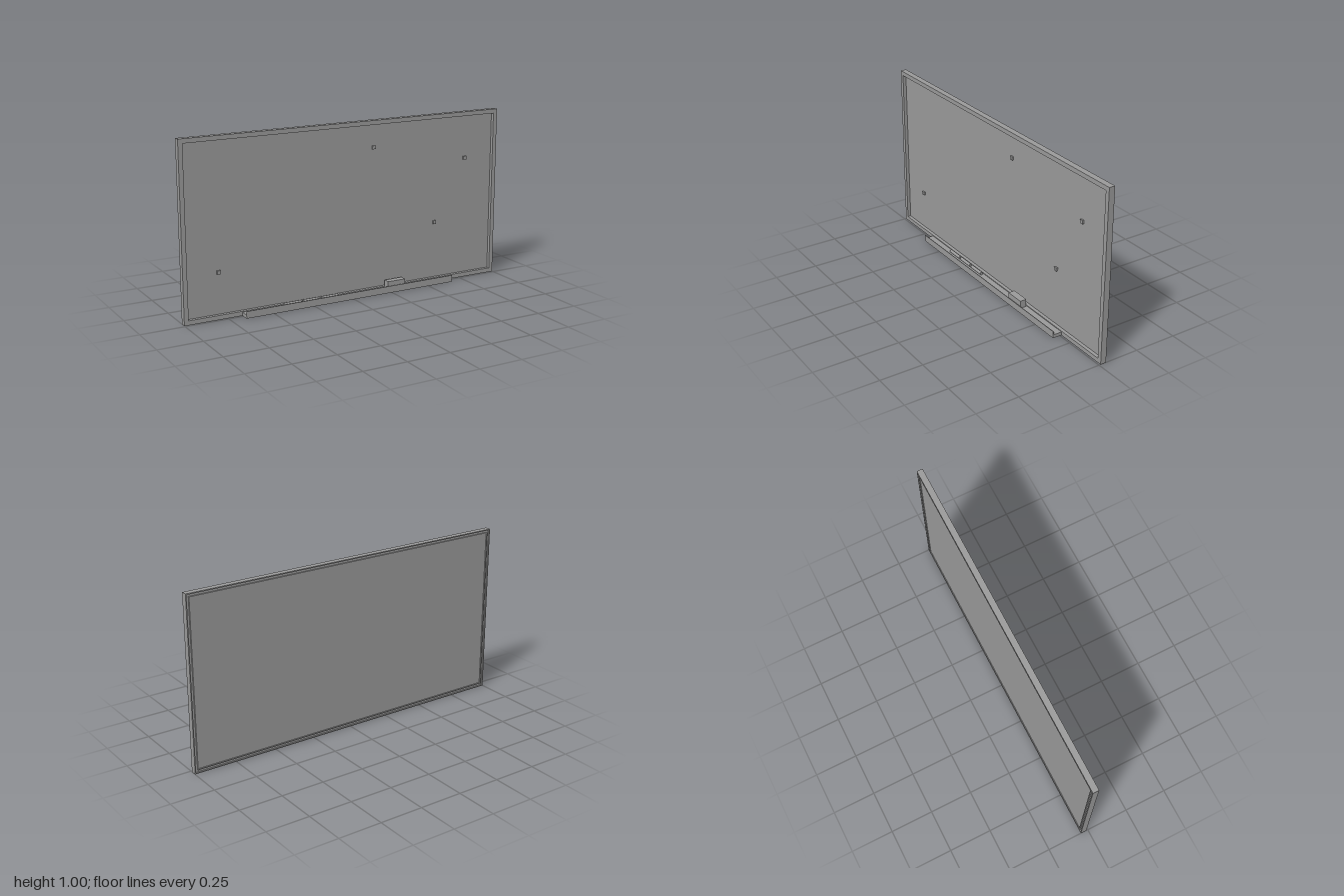
import * as THREE from 'three';

export function createModel() {
  const model = new THREE.Group();
  const grey = new THREE.MeshStandardMaterial({ color: 0x999999 });
  grey.name = 'grey';

  function add(name, geometry) {
    const mesh = new THREE.Mesh(geometry, grey);
    mesh.name = name;
    model.add(mesh);
    return mesh;
  }

  // Box given by its limits on each axis
  function box(name, x0, x1, y0, y1, z0, z1) {
    const mesh = add(name, new THREE.BoxGeometry(x1 - x0, y1 - y0, z1 - z0));
    mesh.position.set((x0 + x1) / 2, (y0 + y1) / 2, (z0 + z1) / 2);
  }

  // Rectangular ring between two insets from the board's outline
  function rectangle(path, inset) {
    const x = 1 - inset, y0 = inset, y1 = 1 - inset;
    path.moveTo(-x, y0);
    path.lineTo(x, y0);
    path.lineTo(x, y1);
    path.lineTo(-x, y1);
    path.closePath();
    return path;
  }
  function ring(name, outer, inner, z0, z1) {
    const shape = rectangle(new THREE.Shape(), outer);
    shape.holes.push(rectangle(new THREE.Path(), inner));
    const geometry = new THREE.ExtrudeGeometry(shape, { depth: z1 - z0, bevelEnabled: false });
    add(name, geometry).position.z = z0;
  }

  // Frame with a shallow channel round the back
  const back = -0.045, front = -0.01;
  ring('frame', 0, 0.025, back + 0.008, front);
  ring('frameOuterFlange', 0, 0.006, back, back + 0.008);
  ring('frameInnerFlange', 0.019, 0.025, back, back + 0.008);

  // Writing surface, recessed on both sides
  box('writingPanel', -0.975, 0.975, 0.025, 0.975, -0.04, -0.03);

  // Magnets
  for (const [x, y] of [[-0.79, 0.26], [0.165, 0.845], [0.785, 0.725], [0.58, 0.36]]) {
    box('magnet', x - 0.01, x + 0.01, y - 0.01, y + 0.01, -0.03, -0.02);
  }

  // Tray with a raised front lip
  box('tray', -0.665, 0.665, 0, 0.02, -0.012, 0.045);
  box('trayLip', -0.665, 0.665, 0.02, 0.04, 0.041, 0.045);

  // Eraser and pens resting on the tray
  box('eraser', 0.23, 0.345, 0.02, 0.065, -0.005, 0.035);
  for (const x of [-0.37, -0.255, -0.138]) {
    const pen = add('pen', new THREE.CylinderGeometry(0.009, 0.009, 0.102, 16));
    pen.rotation.z = Math.PI / 2;
    pen.position.set(x, 0.029, 0.008);
  }

  return model;
}
